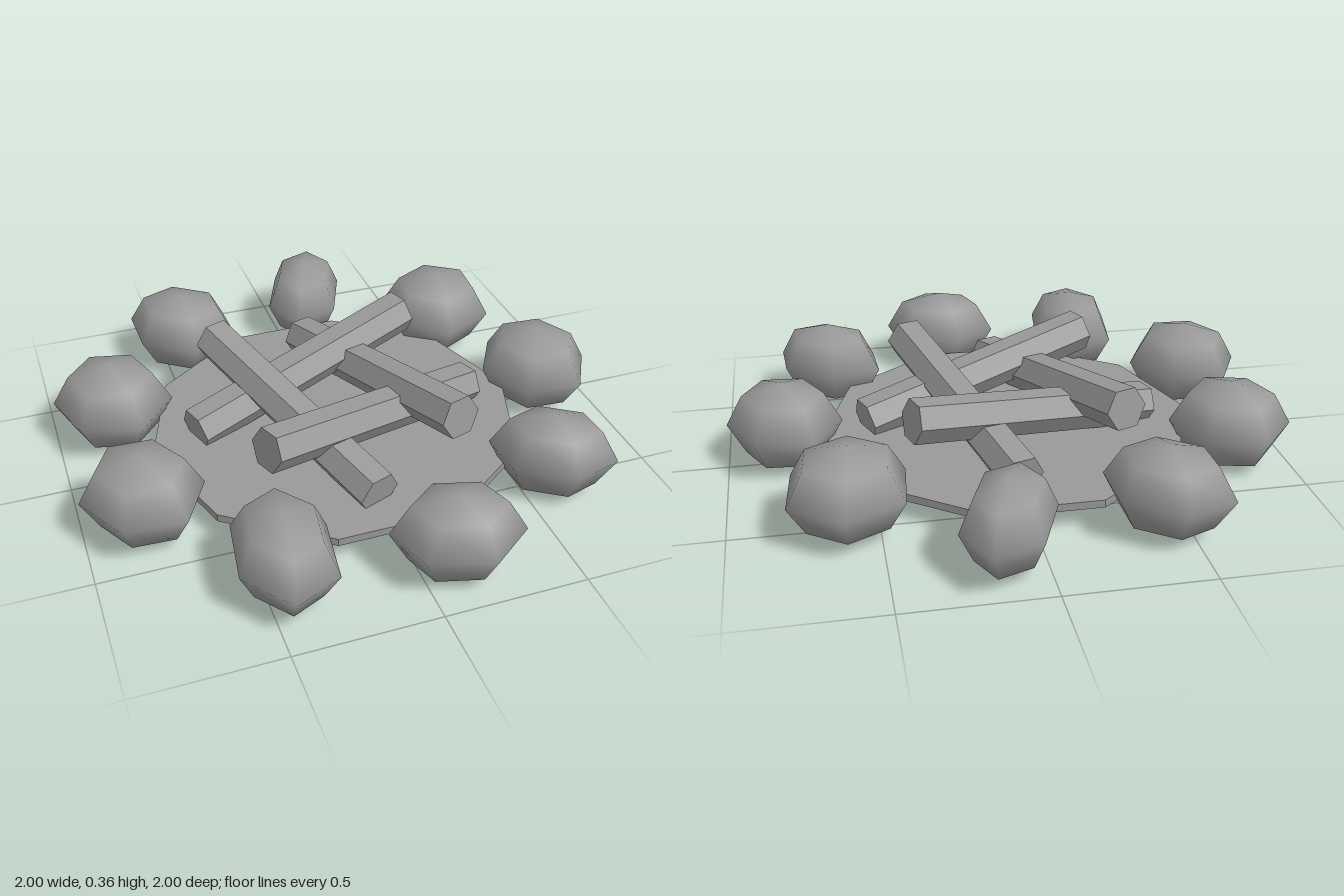
import * as THREE from 'three';

const V = (x, y, z) => new THREE.Vector3(x, y, z);

// Gives a geometry hard, faceted sides
function faceted(geometry) {
  const g = geometry.toNonIndexed();
  g.computeVertexNormals();
  return g;
}

export function createModel() {
  const group = new THREE.Group();
  const grey = new THREE.MeshStandardMaterial({ color: 0x999999 });
  grey.name = 'stoneGrey';

  const add = (name, geometry) => {
    const mesh = new THREE.Mesh(geometry, grey);
    mesh.name = name;
    group.add(mesh);
    return mesh;
  };

  // Ten-sided ash bed
  const bed = add('ashBed', faceted(new THREE.CylinderGeometry(0.68, 0.68, 0.028, 10).rotateY(Math.PI / 2)));
  bed.position.set(-0.02, 0.087, 0.012);

  // Ring of six-sided stones: centre x, z, then two neighbouring corners relative to it
  const stones = [
    [0.79, 0.01, 0.205, 0.015, 0.10, 0.195],
    [0.60, -0.51, 0.20, -0.10, 0.18, 0.125],
    [0.12, -0.79, 0.17, -0.06, 0.08, 0.16],
    [-0.425, -0.69, 0.18, -0.07, 0.185, 0.135],
    [-0.785, -0.27, 0.21, 0.05, 0.07, 0.21],
    [-0.79, 0.29, 0.21, 0.01, 0.11, 0.195],
    [-0.43, 0.715, 0.165, -0.075, 0.13, 0.17],
    [0.12, 0.81, 0.215, 0.06, 0.06, 0.175],
    [0.60, 0.535, 0.185, 0.125, 0.01, 0.175],
  ];
  for (const [x, z, ax, az, bx, bz] of stones) {
    const k = 1 / Math.sqrt(3);
    const shape = new THREE.Matrix4().makeBasis(
      V(ax, 0, az), V(0, 0.157, 0), V((2 * bx - ax) * k, 0, (2 * bz - az) * k));
    add('stone', new THREE.SphereGeometry(1, 6, 4).applyMatrix4(shape)).position.set(x, 0.16, z);
  }

  // Four interlocking logs: low end x, z, then raised end x, z
  const logs = [
    [-0.04, 0.53, -0.37, -0.365],
    [0.02, -0.505, 0.30, 0.41],
    [-0.535, -0.02, 0.365, -0.325],
    [0.50, 0.02, -0.38, 0.37],
  ];
  for (const [x0, z0, x1, z1] of logs) {
    const low = V(x0, 0.14, z0), high = V(x1, 0.29, z1);
    const log = add('log', faceted(new THREE.CylinderGeometry(0.08, 0.08, low.distanceTo(high), 6)
      .rotateY(Math.PI / 2).rotateX(Math.PI / 2)));
    log.position.copy(low).lerp(high, 0.5);
    log.lookAt(high);
  }
  return group;
}
